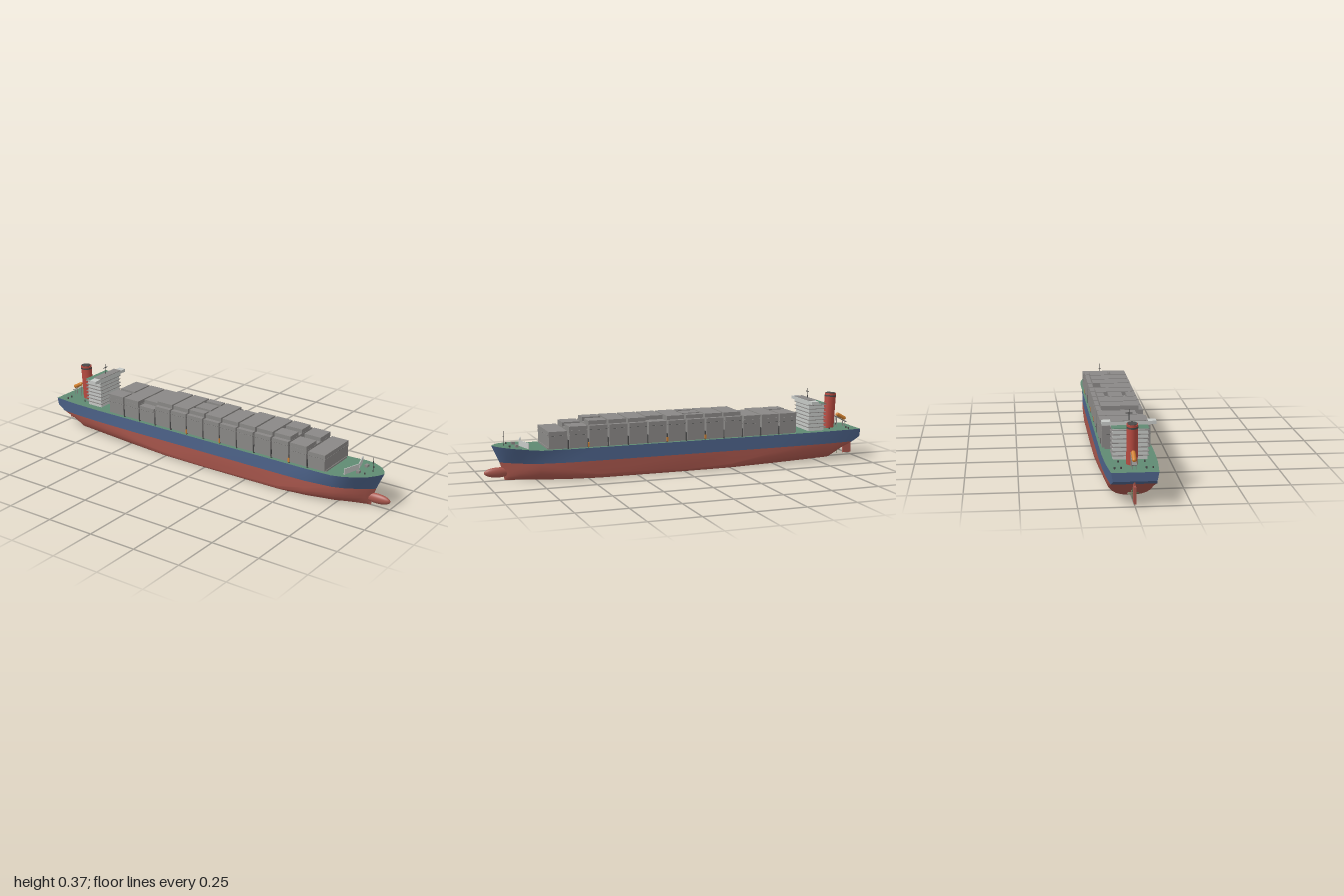
import * as THREE from 'three';
import { toCreasedNormals } from 'three/addons/utils/BufferGeometryUtils.js';

const paint = (name, color) => {
  const m = new THREE.MeshStandardMaterial({ color });
  m.name = name;
  return m;
};

// Skin a list of equal-length cross-sections
function loft(sections, crease = 0.6) {
  const n = sections[0].length, idx = [];
  for (let i = 0; i < sections.length - 1; i++)
    for (let j = 0; j < n - 1; j++) {
      const a = i * n + j, b = a + 1, c = a + n, d = c + 1;
      idx.push(a, b, c, b, d, c);
    }
  const g = new THREE.BufferGeometry();
  g.setAttribute('position', new THREE.Float32BufferAttribute(sections.flat(2), 3));
  g.setIndex(idx);
  return toCreasedNormals(g, crease);
}

export function createModel() {
  const ship = new THREE.Group();
  ship.name = 'containerShip';
  const blue = paint('topside blue', 0x4d638a);
  const red = paint('bottom red', 0xa8564c);
  const green = paint('deck green', 0x5f8a72);
  const grey = paint('container grey', 0x8a8886);
  const light = paint('house light grey', 0xc6c9c6);
  const dark = paint('dark grey', 0x4a4a4a);
  const orange = paint('safety orange', 0xd08030);
  const funnelRed = paint('funnel red', 0xb84a40);
  const bronze = paint('propeller bronze', 0x6f7358);

  const add = (name, geo, mat, x = 0, y = 0, z = 0, parent = ship) => {
    const m = new THREE.Mesh(geo, mat);
    m.name = name;
    m.position.set(x, y, z);
    parent.add(m);
    return m;
  };
  // Box given by its limits
  const block = (name, mat, x0, x1, y0, y1, z0, z1, parent = ship) =>
    add(name, new THREE.BoxGeometry(x1 - x0, y1 - y0, z1 - z0), mat,
      (x0 + x1) / 2, (y0 + y1) / 2, (z0 + z1) / 2, parent);
  const rod = (name, mat, r, x, y0, y1, z) =>
    add(name, new THREE.CylinderGeometry(r, r, y1 - y0, 6), mat, x, (y0 + y1) / 2, z);

  // Hull stations: x, deck half, waterline half, flat bottom half, keel y, bilge y, deck y, stem rake
  const WL = 0.09;
  const stations = [
    [-1.0, 0.105, 0.097, 0.097, 0.115, 0.115, 0.156, 0],
    [-0.955, 0.109, 0.102, 0.1, WL, WL, 0.156, 0],
    [-0.9, 0.114, 0.108, 0.025, 0.05, WL, 0.156, 0],
    [-0.83, 0.119, 0.114, 0.012, 0.002, WL, 0.156, 0],
    [-0.7, 0.123, 0.12, 0.03, 0, WL, 0.156, 0],
    [-0.5, 0.123, 0.123, 0.065, 0, 0.065, 0.156, 0],
    [-0.25, 0.123, 0.123, 0.1, 0, 0.025, 0.156, 0],
    [0, 0.123, 0.123, 0.104, 0, 0.02, 0.156, 0],
    [0.45, 0.123, 0.123, 0.1, 0, 0.025, 0.156, 0],
    [0.6, 0.123, 0.121, 0.075, 0, 0.055, 0.156, 0],
    [0.74, 0.123, 0.104, 0.035, 0, 0.085, 0.158, 0],
    [0.79, 0.118, 0.085, 0.018, 0, WL, 0.164, 0.01],
    [0.83, 0.103, 0.06, 0.01, 0, WL, 0.169, 0.025],
    [0.87, 0.066, 0.03, 0.005, 0, WL, 0.173, 0.045],
    [0.89, 0.03, 0.011, 0.002, 0, WL, 0.175, 0.055],
    [0.9, 0, 0, 0, 0, WL, 0.176, 0.06],
  ];
  const at = (s, y, z) => [s[0] + s[7] * Math.pow(y / 0.175, 1.5), y, z];
  const wlY = s => Math.max(WL, s[4]);
  const lower = stations.slice(1).map(s => {
    const half = [at(s, WL, s[2])];
    for (let k = 0; k <= 6; k++) {
      const t = k / 6, u = 1 - t;
      half.push(at(s, s[5] * u * u + s[4] * (1 - u * u), s[2] * (1 - t * t) + s[3] * t * t));
    }
    return [...half, at(s, s[4], 0), ...half.map(p => [p[0], p[1], -p[2]]).reverse()];
  });
  add('lowerHull', loft(lower), red);
  add('topsideLeft', loft(stations.map(s => [at(s, s[6], s[1]), at(s, wlY(s), s[2])])), blue);
  add('topsideRight', loft(stations.map(s => [at(s, wlY(s), -s[2]), at(s, s[6], -s[1])])), blue);
  add('deck', loft(stations.map(s => [at(s, s[6], -s[1]), at(s, s[6], s[1])])), green);
  add('sternCounter', loft(stations.slice(0, 2).map(s => [at(s, wlY(s), s[2]), at(s, wlY(s), -s[2])])), blue);
  const s0 = stations[0];
  const rim = [[0.156, s0[1]], [0.115, s0[2]], [0.115, -s0[2]], [0.156, -s0[1]]].map(([y, z]) => at(s0, y, z));
  add('transom', loft([rim.map(() => [-1, 0.156, 0]), rim]), blue);

  // Bulbous bow
  add('bulb', new THREE.SphereGeometry(1, 24, 16), red, 0.93, 0.041, 0).scale.set(0.07, 0.025, 0.018);

  // Rudder and propeller
  block('rudder', red, -1, -0.953, 0.012, 0.088, -0.005, 0.005);
  block('rudderStock', red, -0.98, -0.965, 0.085, 0.115, -0.004, 0.004);
  const prop = new THREE.Group();
  prop.name = 'propeller';
  prop.position.set(-0.92, 0.037, 0);
  ship.add(prop);
  add('hub', new THREE.CylinderGeometry(0.005, 0.006, 0.05, 12), bronze, 0.015, 0, 0, prop).rotation.z = Math.PI / 2;
  for (let i = 0; i < 4; i++) {
    const arm = new THREE.Group();
    arm.name = 'bladeArm';
    arm.rotation.x = i * Math.PI / 2;
    prop.add(arm);
    const blade = add('blade', new THREE.SphereGeometry(1, 10, 8), bronze, 0, 0.014, 0, arm);
    blade.scale.set(0.0015, 0.013, 0.007);
    blade.rotation.y = 0.6;
  }

  // Container bays: [full-width top, raised stacks as z ranges]
  const T = 0.0205;
  const bays = [
    [0.245, [[-0.113, 0.015], [0.036, 0.113]]], [0.245, [[-0.113, 0.113]]], [0.245, [[-0.113, 0.072]]],
    [0.265, [[-0.092, 0.092]]], [0.265, [[-0.092, 0.092]]],
    [0.265, [[-0.092, -0.056], [-0.035, 0.035], [0.056, 0.092]]],
    [0.265, [[-0.092, 0.092]]], [0.265, [[-0.056, 0.092]]], [0.265, [[-0.092, 0.092]]],
    [0.265, [[-0.092, 0.092]]], [0.265, [[-0.092, -0.015], [0.02, 0.092]]],
    [0.245, [[-0.113, -0.02], [0.02, 0.113]]], [0.245, []],
  ];
  block('hatchCoaming', grey, -0.62, 0.705, 0.154, 0.166, -0.1, 0.1);
  bays.forEach(([top, stacks], i) => {
    const bay = new THREE.Group();
    bay.name = 'containerBay';
    ship.add(bay);
    const x0 = -0.618 + i * 0.1023, x1 = x0 + 0.092;
    // Tiers with fine seams between them
    block('lowerTiers', grey, x0, x1, 0.163, top - T - 0.001, -0.113, 0.113, bay);
    block('seam', dark, x0 + 0.001, x1 - 0.001, top - T - 0.001, top - T, -0.112, 0.112, bay);
    block('upperTier', grey, x0, x1, top - T, top, -0.113, 0.113, bay);
    for (const [z0, z1] of stacks)
      block('raisedStack', grey, x0, x1, top + 0.0005, top + T, z0, z1, bay);
    // Lashing frame in the gap ahead of the bay
    if (i < 12) block('lashingFrame', dark, x1 + 0.003, x1 + 0.007, 0.156, 0.2, -0.113, 0.113, bay);
    if (i === 4 || i === 6 || i === 10)
      for (const s of [-1, 1]) add('safetyLocker', new THREE.BoxGeometry(0.007, 0.022, 0.006), orange, x1 + 0.005, 0.172, s * 0.113, bay);
  });

  // Deckhouse with a slab at each storey
  block('deckhouse', light, -0.795, -0.708, 0.155, 0.3, -0.078, 0.078);
  for (let i = 0; i < 7; i++)
    block('storeySlab', grey, -0.806, -0.702, 0.174 + i * 0.0195, 0.177 + i * 0.0195, -0.084, 0.084);
  block('houseRoof', green, -0.806, -0.745, 0.3, 0.302, -0.084, 0.084);
  block('wheelhouse', light, -0.746, -0.701, 0.295, 0.32, -0.084, 0.084);
  block('bridgeWings', light, -0.742, -0.703, 0.302, 0.318, -0.124, 0.124);
  block('bridgeRoof', grey, -0.747, -0.7, 0.32, 0.3225, -0.084, 0.084);
  rod('radarMast', dark, 0.0015, -0.737, 0.32, 0.374, 0);
  block('radarBar', dark, -0.739, -0.735, 0.354, 0.357, -0.015, 0.015);

  // Raked oval funnel
  const funnel = new THREE.Group();
  funnel.name = 'funnel';
  funnel.position.set(-0.862, 0.155, 0);
  funnel.rotation.z = 0.06;
  ship.add(funnel);
  const ring = (name, mat, r, y0, y1) =>
    add(name, new THREE.CylinderGeometry(r, r, y1 - y0, 32), mat, 0, (y0 + y1) / 2, 0, funnel).scale.set(1.2, 1, 1);
  ring('funnelCasing', funnelRed, 0.0255, -0.004, 0.168);
  ring('funnelBand', dark, 0.0262, 0.168, 0.176);
  ring('funnelTop', funnelRed, 0.0258, 0.176, 0.186);
  ring('funnelCap', dark, 0.022, 0.186, 0.189);

  // Free-fall lifeboat on its ramp
  const boat = add('lifeboat', new THREE.CapsuleGeometry(0.01, 0.045, 6, 14), orange, -0.938, 0.211, 0);
  boat.rotation.z = -Math.PI / 2 + 0.5;
  const ramp = add('lifeboatRamp', new THREE.BoxGeometry(0.08, 0.004, 0.022), grey, -0.934, 0.198, 0);
  ramp.rotation.z = 0.5;
  for (const z of [-0.009, 0.009]) {
    rod('rampPost', grey, 0.002, -0.908, 0.155, 0.212, z);
    rod('rampPost', grey, 0.002, -0.955, 0.155, 0.187, z);
  }

  // Breakwater, foremast and mooring gear
  for (const s of [-1, 1]) {
    const wall = add('breakwater', new THREE.BoxGeometry(0.004, 0.032, 0.096), light, 0.81, 0.178, s * 0.046);
    wall.rotation.y = s * -0.3;
    add('winch', new THREE.BoxGeometry(0.016, 0.012, 0.02), grey, 0.845, 0.174, s * 0.042);
    for (const [x, z, y] of [[-0.94, 0.056, 0.156], [-0.94, 0.085, 0.156], [-0.84, 0.06, 0.156], [0.88, 0.045, 0.17]])
      rod('bollard', dark, 0.004, x, y, y + 0.009, s * z);
  }
  rod('foremast', dark, 0.0015, 0.9, 0.17, 0.245, 0);
  block('foremastBar', dark, 0.8985, 0.9015, 0.215, 0.217, -0.008, 0.008);
  return ship;
}
